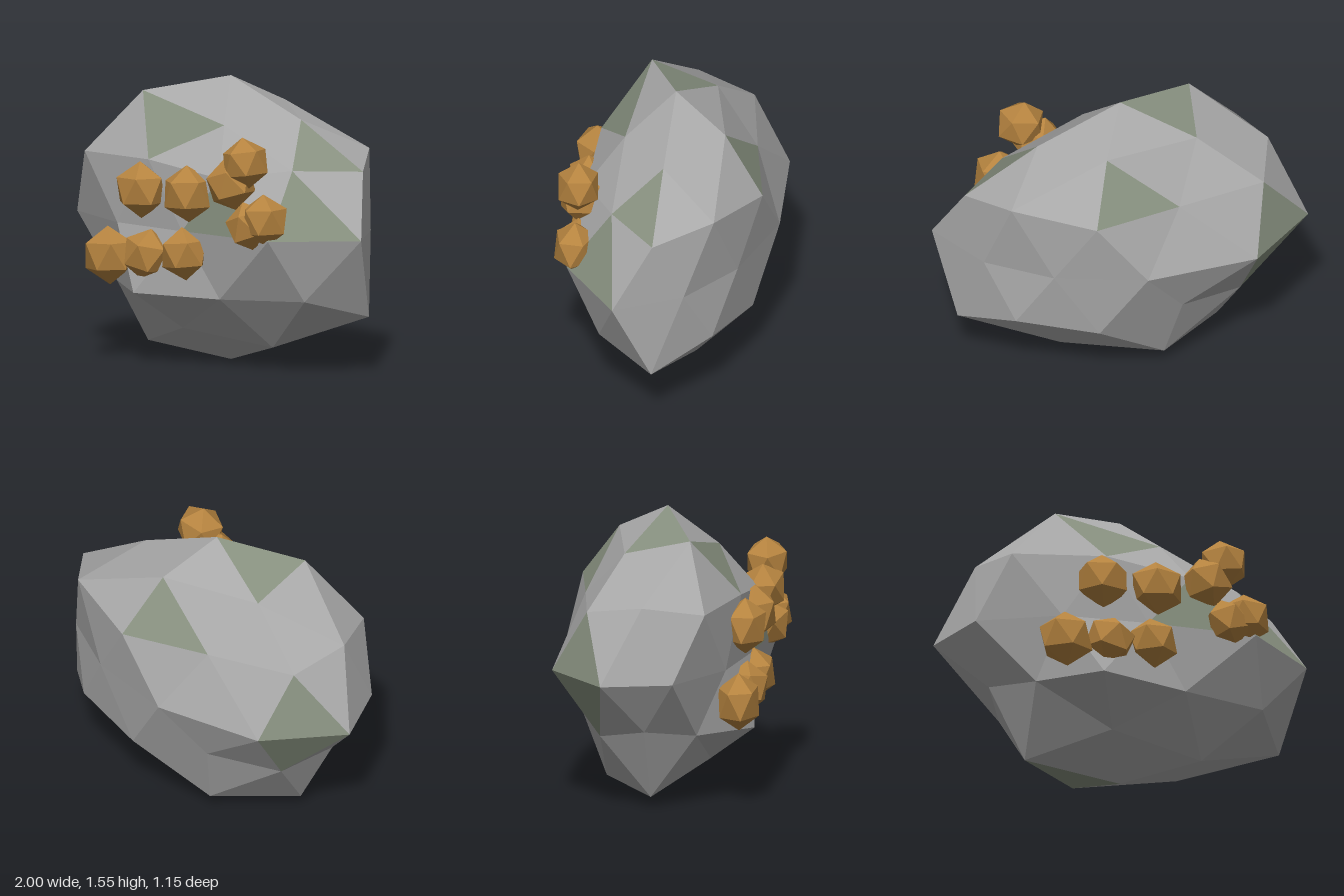
import * as THREE from 'three';

const stone = new THREE.MeshStandardMaterial({ name: 'grey stone', color: 0xa8a8a8, flatShading: true });
const mossy = new THREE.MeshStandardMaterial({ name: 'greenish stone', color: 0x87907f, flatShading: true });
const ore = new THREE.MeshStandardMaterial({ name: 'golden ore', color: 0xb5833f, flatShading: true });

const CENTRE = new THREE.Vector3(0, 0.755, -0.015);
const RADII = new THREE.Vector3(1, 0.79, 0.615);

// Ring of points on a lumpy ellipsoid; each factor pushes one point in or out
function ring(factors, startDeg, height) {
  const r = Math.sqrt(1 - height * height);
  return factors.map((f, i) => {
    const a = THREE.MathUtils.degToRad(startDeg + (i * 360) / factors.length);
    return new THREE.Vector3(r * Math.cos(a), height, r * Math.sin(a)).multiply(RADII).multiplyScalar(f).add(CENTRE);
  });
}

function flatMesh(triangles, material, name) {
  const points = [];
  for (const [a, b, c] of triangles) {
    // Turn every corner order outwards
    const n = b.clone().sub(a).cross(c.clone().sub(a));
    const mid = a.clone().add(b).add(c).divideScalar(3).sub(CENTRE);
    points.push(...(n.dot(mid) > 0 ? [a, b, c] : [a, c, b]));
  }
  const geometry = new THREE.BufferGeometry().setFromPoints(points);
  geometry.computeVertexNormals();
  const mesh = new THREE.Mesh(geometry, material);
  mesh.name = name;
  return mesh;
}

// Boulder: a once-divided icosahedron with uneven radii
function createBoulder() {
  const [top] = ring([1.006], 0, 1);
  const [bottom] = ring([0.956], 0, -1);
  const cap = ring([0.88, 0.84, 1.04, 0.9, 0.95], 0, 0.851);
  const upper = ring([0.973, 0.87, 1.015, 0.99, 0.98], 0, 0.447);
  const upperMid = ring([0.855, 0.89, 0.975, 0.83, 1.01], 36, 0.526);
  const belt = ring([1.05, 1.02, 0.75, 0.8, 0.935, 1.05, 1.06, 0.92, 0.82, 0.85], 18, 0);
  const lower = ring([0.975, 1, 0.84, 0.83, 0.92], 36, -0.447);
  const lowerMid = ring([0.86, 0.83, 0.87, 0.915, 1.07], 72, -0.526);
  const base = ring([0.945, 0.84, 1.04, 1, 0.9], 36, -0.851);

  // Mossy facets, named by band, sector and sub-facet (3 is the middle one)
  const mossyFacets = new Set(['0-3-2', '0-2-0', '0-1-3', '0-0-1', '1-0-3', '2-0-2', '2-2-2', '2-2-3', '3-2-0']);
  const plain = [], green = [];
  for (let k = 0; k < 5; k++) {
    const n = (k + 1) % 5;
    const bands = [
      [top, upper[k], upper[n], cap[k], upperMid[k], cap[n]],
      [upper[k], upper[n], lower[k], upperMid[k], belt[2 * k + 1], belt[2 * k]],
      [lower[k], lower[n], upper[n], lowerMid[k], belt[2 * n], belt[2 * k + 1]],
      [bottom, lower[k], lower[n], base[k], lowerMid[k], base[n]],
    ];
    bands.forEach(([a, b, c, ab, bc, ca], band) => {
      [[a, ab, ca], [b, bc, ab], [c, ca, bc], [ab, bc, ca]].forEach((facet, i) => {
        (mossyFacets.has(`${band}-${k}-${i}`) ? green : plain).push(facet);
      });
    });
  }
  const boulder = new THREE.Group();
  boulder.name = 'boulder';
  boulder.add(flatMesh(plain, stone, 'stoneFacets'), flatMesh(green, mossy, 'mossyFacets'));
  return boulder;
}

// Ore nuggets: small icosahedra set into the front face
function createNuggets() {
  const nuggets = new THREE.Group();
  nuggets.name = 'oreNuggets';
  const geometry = new THREE.IcosahedronGeometry(1, 0);
  geometry.rotateZ(-Math.atan2(0.526, 0.851)); // one corner straight up
  // x, y, radius, tilt
  const spots = [
    [-0.265, 0.96, 0.155, 0.03], [0.045, 0.965, 0.155, 0.05], [0.33, 1.04, 0.145, 0.3],
    [0.425, 1.165, 0.14, 0.15], [-0.475, 0.585, 0.16, 0.05], [-0.225, 0.61, 0.145, -0.2],
    [0.02, 0.635, 0.145, 0.1], [0.455, 0.82, 0.14, 0.35], [0.55, 0.86, 0.145, 0.05],
  ];
  spots.forEach(([x, y, r, tilt], i) => {
    const g = geometry.clone().rotateY(i * 0.7).rotateZ(tilt).scale(r, r, 0.125);
    const nugget = new THREE.Mesh(g, ore);
    nugget.name = `nugget${i + 1}`;
    nugget.position.set(x, y, 0.455);
    nuggets.add(nugget);
  });
  return nuggets;
}

export function createModel() {
  const model = new THREE.Group();
  model.name = 'oreRock';
  model.add(createBoulder(), createNuggets());
  return model;
}
